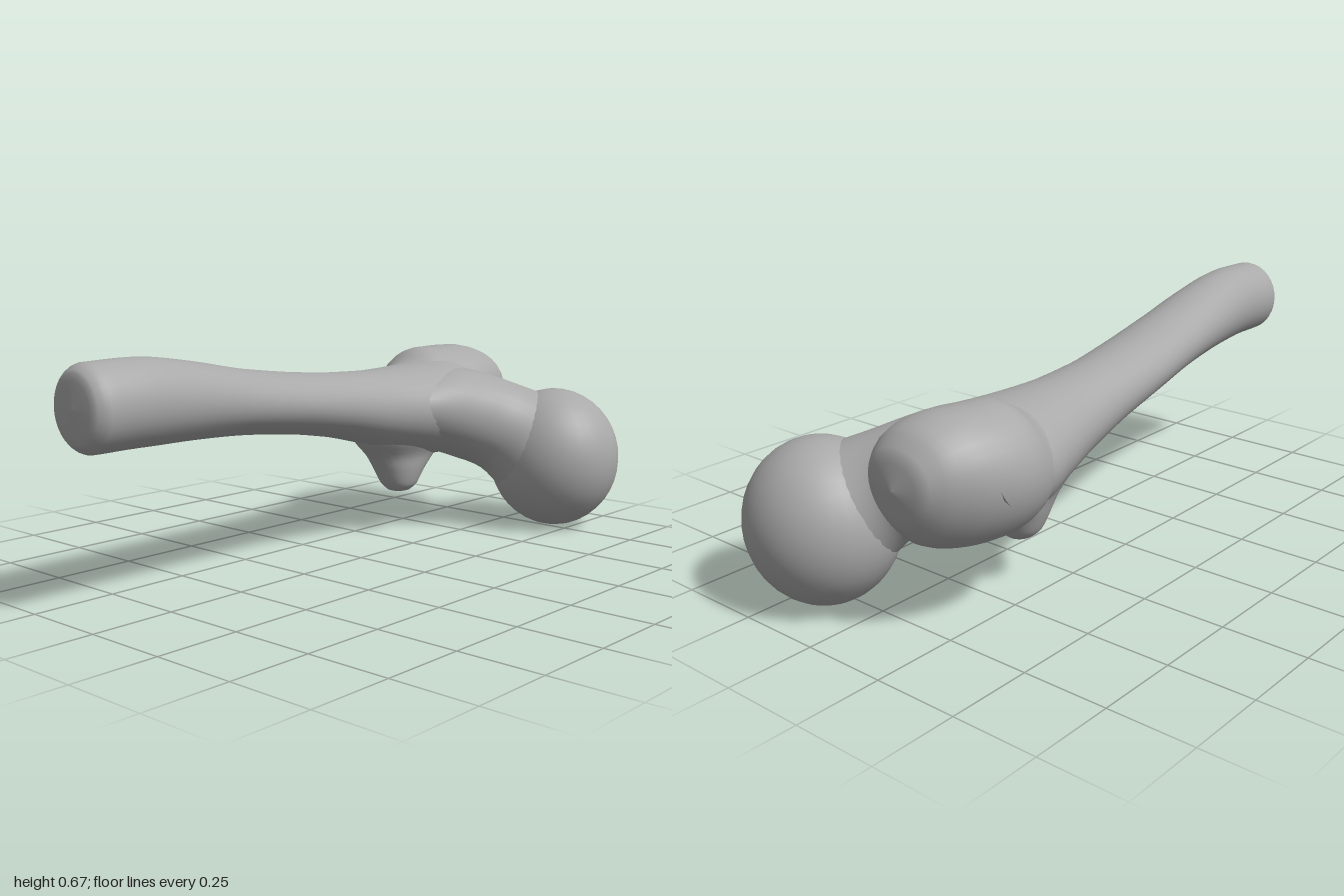
import * as THREE from 'three';

const bone = new THREE.MeshStandardMaterial({ color: 0xa9a9a9 });
bone.name = 'bone grey';

const UP = new THREE.Vector3(0, 1, 0);
const FRONT = new THREE.Vector3(0, 0, 1);

// Skin oval sections [x, y, z, halfWidth, halfHeight, taper] lying across direction dir.
// A positive taper makes the oval wider above and narrower below.
function loft(name, sections, dir, ref = UP, sides = 32, steps = 4) {
  const d = new THREE.Vector3(...dir).normalize();
  const u = new THREE.Vector3().crossVectors(ref, d).normalize();
  const v = new THREE.Vector3().crossVectors(d, u);
  const centres = new THREE.CatmullRomCurve3(sections.map(s => new THREE.Vector3(s[0], s[1], s[2])));
  const shapes = new THREE.CatmullRomCurve3(sections.map(s => new THREE.Vector3(s[3], s[4], s[5] ?? 0)));
  const rings = (sections.length - 1) * steps;
  const positions = [], index = [];
  for (let i = 0; i <= rings; i++) {
    const c = centres.getPoint(i / rings), r = shapes.getPoint(i / rings);
    for (let j = 0; j < sides; j++) {
      const a = (j / sides) * Math.PI * 2;
      const p = c.clone()
        .addScaledVector(u, Math.max(r.x, 0) * Math.cos(a) * (1 + r.z * Math.sin(a)))
        .addScaledVector(v, Math.max(r.y, 0) * Math.sin(a));
      positions.push(p.x, p.y, p.z);
      if (i < rings) {
        const k = (j + 1) % sides, m = i * sides, n = m + sides;
        index.push(m + j, m + k, n + j, m + k, n + k, n + j);
      }
    }
  }
  const geometry = new THREE.BufferGeometry();
  geometry.setAttribute('position', new THREE.Float32BufferAttribute(positions, 3));
  geometry.setIndex(index);
  geometry.computeVertexNormals();
  const mesh = new THREE.Mesh(geometry, bone);
  mesh.name = name;
  return mesh;
}

// Section across z given by its bounds.
const across = (z, x0, x1, y0, y1, taper = 0) =>
  [(x0 + x1) / 2, (y0 + y1) / 2, z, (x1 - x0) / 2, (y1 - y0) / 2, taper];

export function createModel() {
  const group = new THREE.Group();
  group.name = 'upperThighBone';

  // Shaft: rounded cut end at the front, widening toward the back
  group.add(loft('shaft', [
    across(0.998, -0.055, -0.055, 0.555, 0.555),
    across(0.99, -0.14, 0.025, 0.465, 0.645),
    across(0.955, -0.165, 0.052, 0.438, 0.67),
    across(0.8, -0.167, 0.053, 0.438, 0.672),
    across(0.6, -0.19, 0.045, 0.433, 0.645),
    across(0.4, -0.215, 0.03, 0.42, 0.607),
    across(0.2, -0.245, 0.01, 0.395, 0.58),
    across(0, -0.267, -0.01, 0.36, 0.56),
    across(-0.2, -0.297, -0.006, 0.31, 0.55),
    across(-0.35, -0.337, 0.02, 0.272, 0.552),
    across(-0.48, -0.37, 0.04, 0.245, 0.558),
    across(-0.6, -0.34, 0.0, 0.255, 0.56),
    across(-0.7, -0.27, -0.06, 0.3, 0.5),
  ], [0, 0, -1]));

  // Greater trochanter: outer knob at the back, narrower below
  group.add(loft('greaterTrochanter', [
    across(-0.36, -0.31, -0.07, 0.31, 0.52),
    across(-0.47, -0.366, -0.05, 0.25, 0.555),
    across(-0.54, -0.392, -0.055, 0.233, 0.592, 0.03),
    across(-0.62, -0.396, -0.045, 0.23, 0.597, 0.06),
    across(-0.72, -0.37, -0.035, 0.238, 0.597, 0.12),
    across(-0.8, -0.325, -0.05, 0.27, 0.572, 0.18),
    across(-0.85, -0.275, -0.085, 0.33, 0.52, 0.18),
    across(-0.87, -0.185, -0.185, 0.43, 0.43),
  ], [0, 0, -1]));

  // Neck: flares out of the shaft and into the head
  group.add(loft('neck', [
    [-0.2, 0.42, -0.47, 0.285, 0.12],
    [-0.13, 0.405, -0.53, 0.24, 0.145],
    [-0.05, 0.375, -0.605, 0.185, 0.152],
    [0.03, 0.335, -0.675, 0.152, 0.155],
    [0.1, 0.278, -0.73, 0.172, 0.18],
    [0.16, 0.235, -0.782, 0.197, 0.217],
  ], [0.29, -0.175, -0.24]));

  // Ball-shaped head
  const head = new THREE.Mesh(new THREE.SphereGeometry(1, 32, 20), bone);
  head.name = 'head';
  head.scale.set(0.221, 0.232, 0.208);
  head.position.set(0.173, 0.232, -0.79);
  group.add(head);

  // Lesser trochanter: small knob flaring out of the shaft's underside
  group.add(loft('lesserTrochanter', [
    [-0.165, 0.42, -0.38, 0.13, 0.23],
    [-0.165, 0.32, -0.385, 0.115, 0.205],
    [-0.168, 0.26, -0.39, 0.088, 0.148],
    [-0.165, 0.21, -0.378, 0.075, 0.1],
    [-0.162, 0.16, -0.372, 0.057, 0.065],
    [-0.16, 0.138, -0.37, 0.034, 0.038],
    [-0.16, 0.13, -0.37, 0, 0],
  ], [0, -1, 0], FRONT));

  return group;
}
